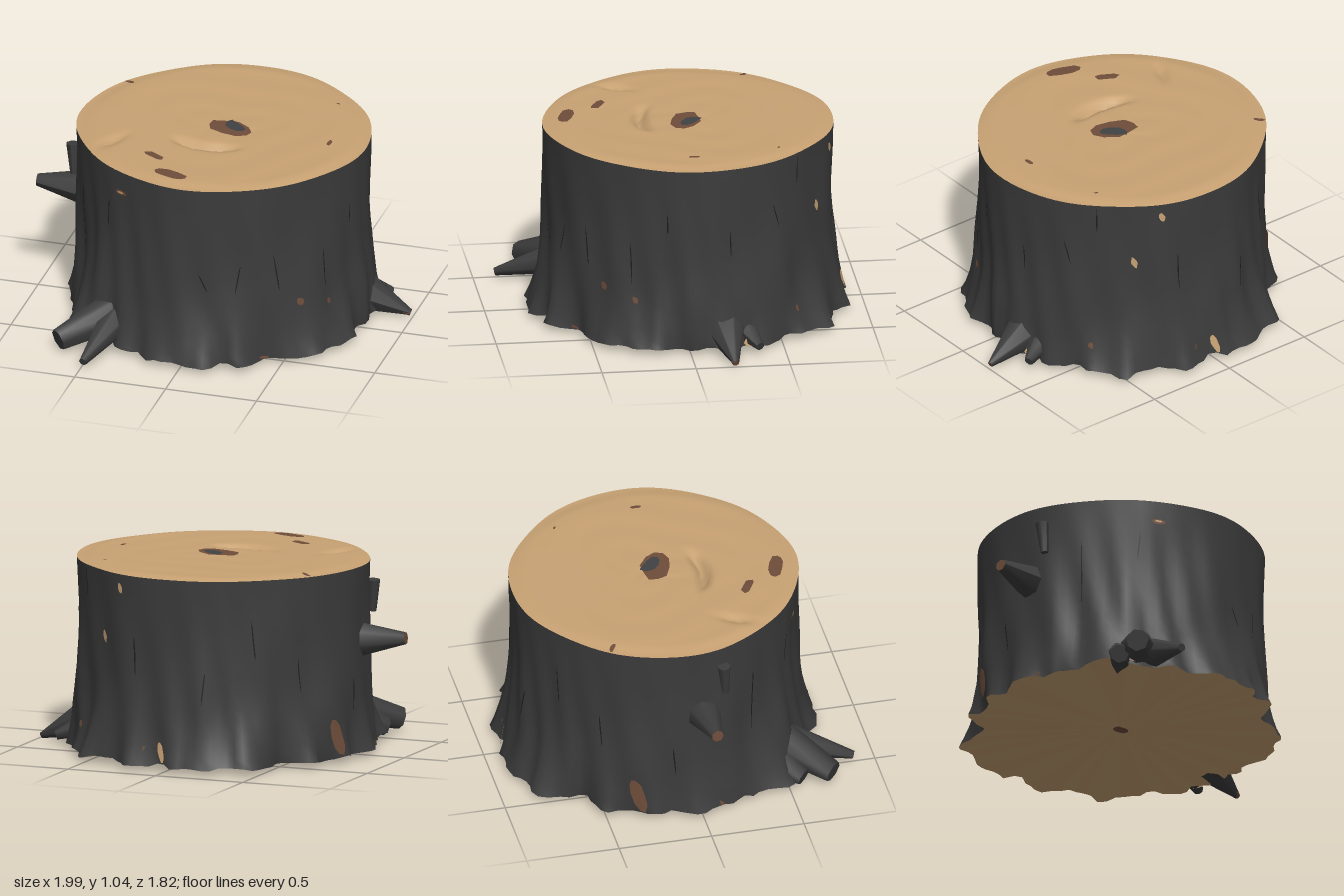
import * as THREE from 'three';

const SIDES = 120, TOP = 1.03, BASE = 0.03, CZ = -0.08;
const RAD = Math.PI / 180;

// Foot outline radius every 15 degrees, from +x towards +z
const FOOT = [0.81, 0.80, 0.84, 0.80, 0.79, 0.83, 0.89, 0.81, 0.86, 0.87, 0.82, 0.81,
  0.79, 0.82, 0.79, 0.77, 0.86, 0.85, 0.81, 0.83, 0.82, 0.84, 0.81, 0.84];

function mat(name, color, side = THREE.FrontSide) {
  const m = new THREE.MeshStandardMaterial({ color, side });
  m.name = name;
  return m;
}

function seeded(seed) {
  return () => {
    seed = (seed * 16807) % 2147483647;
    return seed / 2147483647;
  };
}

// Closed rings of points joined into a smooth skin
function ringGrid(rows, point) {
  const pos = [], idx = [];
  for (let i = 0; i < rows; i++) {
    for (let j = 0; j < SIDES; j++) pos.push(...point(i, j));
  }
  for (let i = 0; i < rows - 1; i++) {
    for (let j = 0; j < SIDES; j++) {
      const a = i * SIDES + j, b = i * SIDES + (j + 1) % SIDES;
      idx.push(a, b, a + SIDES, b, b + SIDES, a + SIDES);
    }
  }
  const g = new THREE.BufferGeometry();
  g.setAttribute('position', new THREE.Float32BufferAttribute(pos, 3));
  g.setIndex(idx);
  g.computeVertexNormals();
  return g;
}

// Trunk radius at an angle and height: rim, root flare and bark ridges
function trunkRadius(a, y) {
  const u = (((a / RAD) % 360) + 360) % 360 / 15, k = Math.floor(u);
  const foot = THREE.MathUtils.lerp(FOOT[k % 24], FOOT[(k + 1) % 24], u - k);
  const rim = 0.766 + 0.010 * Math.cos(4 * a) + 0.008 * Math.cos(2 * a) + 0.003 * Math.sin(9 * a);
  const down = THREE.MathUtils.clamp((TOP - y) / (TOP - BASE), 0, 1);
  const ridges = 0.008 * Math.sin(11 * a + 3 * y) + 0.008 * Math.sin(23 * a - 5 * y + 2 * Math.sin(3 * a))
    + 0.005 * Math.sin(5 * a + 9 * y);
  const lobes = 0.016 * Math.sin(19 * a + 1.5 * Math.sin(4 * a)) * down ** 5;
  return rim + (foot - rim) * down ** 4 + ridges * Math.min(1, down * 1.6) + lobes - 0.01 * Math.sin(Math.PI * down);
}

function onTrunk(a, y, lift = 0) {
  const r = trunkRadius(a, y) + lift;
  return [r * Math.cos(a), y, CZ + r * Math.sin(a)];
}

// Cut face height: faint growth rings, soft rim, a curved split and a chip
function cutHeight(x, z) {
  const d = Math.hypot(x, z - CZ), a = Math.atan2(z - CZ, x);
  const rings = 0.0014 * Math.sin(d * 26 + 2 * Math.sin(3 * a));
  const rim = 0.012 * THREE.MathUtils.smoothstep(d, 0.68, 0.78);
  const split = 0.05 * Math.exp(-(((z - 0.175 + 1.2 * (x + 0.02) ** 2) / 0.028) ** 2) - ((x + 0.04) / 0.16) ** 4);
  const chip = 0.025 * Math.exp(-(((x + 0.52 + 0.5 * (z - 0.25)) / 0.03) ** 2) - ((z - 0.25) / 0.08) ** 2);
  return TOP + 0.003 + rings - rim - split - chip;
}

// Thin irregular patch mapped onto a surface by place(u, v)
function patch(rx, ry, place, seed, skew = 0, tilt = 0) {
  const rnd = seeded(seed * 7919 + 13), pos = [...place(0, 0)], idx = [], n = 10;
  for (let i = 0; i < n; i++) {
    const t = i / n * Math.PI * 2, s = 0.8 + 0.3 * rnd();
    const u = rx * s * Math.cos(t), v = ry * s * Math.sin(t);
    pos.push(...place(u + skew * v, v + tilt * u));
    idx.push(0, 1 + (i + 1) % n, 1 + i);
  }
  const g = new THREE.BufferGeometry();
  g.setAttribute('position', new THREE.Float32BufferAttribute(pos, 3));
  g.setIndex(idx);
  g.computeVertexNormals();
  return g;
}

// Tapered limb between two points, its start kept above the underside
function limb(from, to, r0, r1) {
  const a = new THREE.Vector3(...from), b = new THREE.Vector3(...to);
  const d = b.clone().sub(a), len = d.length();
  const g = new THREE.CylinderGeometry(r1, r0, len, 7, 1);
  const p = g.attributes.position;
  const floors = Array.from({ length: p.count }, (_, i) => (p.getY(i) > 0 ? 0 : 0.06));
  g.applyQuaternion(new THREE.Quaternion().setFromUnitVectors(new THREE.Vector3(0, 1, 0), d.normalize()));
  g.translate(...a.add(b).multiplyScalar(0.5).toArray());
  floors.forEach((f, i) => p.setY(i, Math.max(f, p.getY(i))));
  g.computeVertexNormals();
  return g;
}

export function createModel() {
  const group = new THREE.Group();
  const bark = mat('bark', 0x3c3c3c);
  const wood = mat('wood', 0xc8a273);
  const woodChip = mat('exposedWood', 0xc8a273, THREE.DoubleSide);
  const brown = mat('brownWood', 0x6f4d3a, THREE.DoubleSide);
  const grey = mat('darkPith', 0x414244, THREE.DoubleSide);
  const crack = mat('crack', 0x1d1d1d, THREE.DoubleSide);
  const add = (name, geo, material) => {
    const m = new THREE.Mesh(geo, material);
    m.name = name;
    group.add(m);
  };

  // Ragged foot edge, in coarse steps
  const rnd = seeded(421);
  const steps = Array.from({ length: SIDES / 2 }, () => [(rnd() - 0.5) * 0.06, rnd() * 0.018]);
  const jag = (j) => steps[Math.floor(j / 2)];
  const edge = (j) => {
    const a = j / SIDES * Math.PI * 2, p = onTrunk(a, BASE, jag(j)[0]);
    p[1] += jag(j)[1] - 0.006;
    return p;
  };

  // Bark trunk
  const levels = [1.022, 0.97, 0.9, 0.8, 0.7, 0.6, 0.5, 0.42, 0.34, 0.27, 0.2, 0.14, 0.08];
  add('barkTrunk', ringGrid(levels.length + 1, (i, j) => {
    if (i === levels.length) return edge(j);
    const lift = i > 9 ? jag(j)[0] * (i - 9) * 0.2 : 0;
    return onTrunk(j / SIDES * Math.PI * 2, levels[i], lift);
  }), bark);

  // Cut top with a softly rounded rim
  const CAP = 36;
  add('cutTop', ringGrid(CAP + 1, (i, j) => {
    const a = j / SIDES * Math.PI * 2, r = trunkRadius(a, TOP) * i / CAP;
    const x = r * Math.cos(a), z = CZ + r * Math.sin(a);
    return [x, i === CAP ? 1.022 : cutHeight(x, z), z];
  }), wood);

  // Underside, slightly hollow
  add('underside', ringGrid(7, (i, j) => {
    const [x, y, z] = edge(j), k = 1 - i / 6;
    return [x * k, THREE.MathUtils.lerp(0.045, y, k), CZ + (z - CZ) * k];
  }), wood);

  // Stains and pith on the cut top: x, z, half width, half depth, skew, tilt
  const stains = [
    [-0.25, 0.37, 0.062, 0.034, 0.2, 0.45], [-0.1, 0.56, 0.1, 0.044, 0, 0.3],
    [-0.63, -0.45, 0.03, 0.015, 0, 0.5], [0.59, -0.04, 0.013, 0.034, 0, 0], [0.5, -0.5, 0.012, 0.007, 0, 0.4],
  ];
  stains.forEach(([x, z, w, d, s, t], k) => add('topStain',
    patch(w, d, (u, v) => [x + u, cutHeight(x + u, z + v) + 0.005, z + v], k + 1, s, t), brown));
  add('pith', patch(0.13, 0.085, (u, v) => [0.035 + u, TOP + 0.008, -0.06 + v], 9, 0.2, 0.15), brown);
  add('pithCore', patch(0.066, 0.055, (u, v) => [0.055 + u, TOP + 0.011, -0.085 + v], 12, 0.2, 0.4), grey);
  add('lowerPith', patch(0.05, 0.035, (u, v) => [u, 0.037, CZ + v], 4), brown);

  // Worn spots on the bark: angle, height, half width, half height, material
  const onBark = (deg, y, lift) => (u, v) => onTrunk(deg * RAD + u / 0.78, Math.max(0.035, y + v), lift);
  const spots = [
    [119, 0.905, 0.042, 0.014, brown], [42, 0.33, 0.022, 0.025, brown], [28, 0.28, 0.015, 0.02, brown],
    [130, 0.06, 0.04, 0.03, brown], [59, 0.04, 0.05, 0.012, brown], [24, 0.04, 0.06, 0.014, brown],
    [199, 0.16, 0.04, 0.1, brown], [320, 0.17, 0.014, 0.02, brown], [278, 0.1, 0.014, 0.03, brown],
    [271, 0.11, 0.02, 0.055, woodChip], [303, 0.67, 0.018, 0.035, woodChip], [292, 0.95, 0.016, 0.028, woodChip],
    [343, 0.06, 0.04, 0.03, woodChip], [168, 0.05, 0.03, 0.02, brown], [180, 0.04, 0.04, 0.012, brown],
  ];
  spots.forEach(([deg, y, w, h, m], k) => add('wornSpot', patch(w, h, onBark(deg, y, 0.009), k + 20, 0.25), m));
  add('wornSpotCore', patch(0.024, 0.007, onBark(119, 0.907, 0.012), 41), woodChip);

  // Bark cracks: angle, height, half length, skew
  const cracks = [
    [15, 0.72, 0.06, 0], [350, 0.6, 0.08, 0.05], [330, 0.72, 0.07, 0.3], [318, 0.93, 0.08, 0],
    [30, 0.48, 0.12, 0.05], [52, 0.52, 0.1, 0.15], [68, 0.5, 0.08, -0.2], [82, 0.48, 0.05, 0.5],
    [127, 0.75, 0.09, -0.1], [150, 0.6, 0.2, 0], [215, 0.5, 0.1, 0.1], [235, 0.7, 0.12, 0.1],
    [255, 0.45, 0.1, -0.1], [285, 0.6, 0.12, 0.05], [350, 0.14, 0.05, 0], [185, 0.35, 0.1, 0.1],
  ];
  cracks.forEach(([deg, y, h, s], k) => add('barkCrack', patch(0.004, h, onBark(deg, y, 0.006), k + 50, s), crack));

  // Branch stub, spreading roots and bark burr: from, to, start and end radius, tip material
  const limbs = [
    ['branchStub', [-0.7, 0.615, 0.01], [-0.995, 0.635, 0.035], 0.105, 0.033, brown],
    ['rightRoot', [0.56, 0.19, -0.17], [0.985, 0.016, -0.215], 0.17, 0.016, brown],
    ['rightRootlet', [0.6, 0.14, -0.25], [0.84, 0.05, -0.36], 0.1, 0.025, bark],
    ['frontRoot', [-0.28, 0.22, 0.34], [-0.67, 0.07, 0.735], 0.14, 0.06, bark],
    ['frontRootlet', [-0.37, 0.19, 0.36], [-0.49, 0.035, 0.885], 0.13, 0.022, bark],
    ['sideRootlet', [-0.42, 0.16, 0.34], [-0.65, 0.05, 0.58], 0.12, 0.05, bark],
    ['barkBurr', [-0.765, 0.75, 0.13], [-0.775, 0.92, 0.12], 0.02, 0.035, bark],
  ];
  for (const [name, from, to, r0, r1, tip] of limbs) add(name, limb(from, to, r0, r1), [bark, tip, bark]);

  // Bare wood along the front of the right root tip
  add('rootTipWood', limb([0.84, 0.035, -0.185], [0.98, 0.014, -0.208], 0.03, 0.014), brown);

  return group;
}
